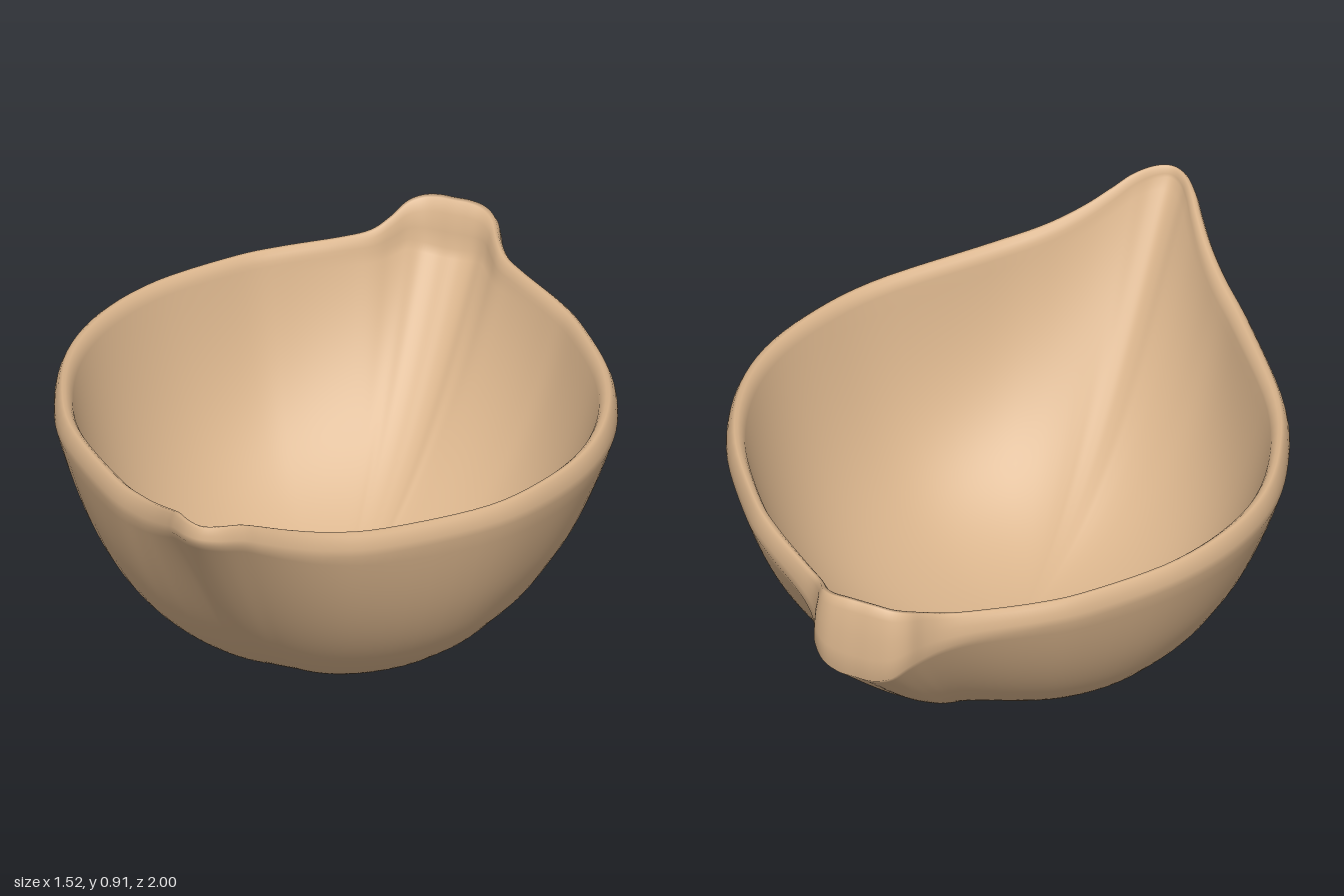
import * as THREE from 'three';
import { mergeVertices } from 'three/addons/utils/BufferGeometryUtils.js';

// Half of the rim, front to back: outer x, z, rim top height, outer wall height, inner x, z
const RIM = [
  [0, 1, 0.91, 0.86, 0, 0.972], [0.05, 0.983, 0.908, 0.855, 0.038, 0.953], [0.1, 0.937, 0.897, 0.84, 0.075, 0.91],
  [0.14, 0.89, 0.872, 0.81, 0.11, 0.862], [0.2, 0.825, 0.835, 0.77, 0.165, 0.795], [0.28, 0.75, 0.8, 0.735, 0.242, 0.715],
  [0.4, 0.64, 0.772, 0.71, 0.358, 0.605], [0.61, 0.4, 0.75, 0.69, 0.56, 0.38], [0.71, 0.2, 0.745, 0.68, 0.658, 0.192],
  [0.757, 0, 0.743, 0.68, 0.703, 0], [0.74, -0.2, 0.745, 0.68, 0.687, -0.19], [0.66, -0.4, 0.743, 0.68, 0.612, -0.38],
  [0.51, -0.6, 0.738, 0.67, 0.47, -0.572], [0.41, -0.7, 0.735, 0.67, 0.37, -0.665], [0.275, -0.8, 0.735, 0.66, 0.24, -0.765],
  [0.205, -0.855, 0.742, 0.645, 0.175, -0.815], [0.165, -0.905, 0.765, 0.635, 0.138, -0.86],
  [0.138, -0.962, 0.79, 0.63, 0.108, -0.897], [0.1, -0.992, 0.803, 0.6, 0.075, -0.918],
  [0.05, -1, 0.81, 0.582, 0.038, -0.925], [0, -1, 0.81, 0.58, 0, -0.925],
];

// Rounded lip: share of rim width, share of height from outer wall to rim top
const LIP = [[0.03, 0.3], [0.1, 0.58], [0.25, 0.87], [0.42, 0.99], [0.6, 0.98], [0.8, 0.82], [0.94, 0.6], [1, 0.4]];

const SEGMENTS = 192, WALL_ROWS = 48;
const lerp = THREE.MathUtils.lerp;

// Wall height fractions at radius fraction f
const sideWall = (f) => 0.58 * f ** 2 + 0.42 * f ** 6;
const frontWall = (f) => 0.65 * f ** 2 + 1.2 * f ** 3 - 0.85 * f ** 4;
const backWall = (f) => 0.8 * f ** 2 + 0.8 * f ** 3 - 0.6 * f ** 4;

// A wall point between the centre (f = 0) and the edge (f = 1); rounder lower down
function wallPoint(f, x, z, base, top, ripple) {
  const edge = Math.hypot(x, z), sin = x / edge, cos = z / edge;
  const oval = edge / Math.hypot(x / 0.757, z);
  const front = Math.max(0, cos) ** 4, back = Math.max(0, -cos) ** 4;
  const g = sideWall(f) * (1 - front - back) + frontWall(f) * front + backWall(f) * back;
  const r = f * lerp(Math.max(oval, edge), edge, f ** 2);
  const bump = ripple * (0.5 - 0.5 * Math.cos(f * 50)) * sin ** 8 * (1 - f ** 4);
  return [r * sin, lerp(base, top, g) + bump, r * cos];
}

function shellGeometry() {
  const mirrored = RIM.slice(1, -1).reverse().map(([x, z, top, wall, ix, iz]) => [-x, z, top, wall, -ix, iz]);
  const loop = [...RIM, ...mirrored];
  const curve = (pick) => new THREE.CatmullRomCurve3(loop.map((p) => new THREE.Vector3(...pick(p))), true, 'catmullrom', 0.5);
  const outer = curve(([x, z, , wall]) => [x, wall, z]);
  const inner = curve(([, , top, , ix, iz]) => [ix, top, iz]);

  // Each column runs from the outer bottom, over the lip, to the inner bottom
  const positions = [];
  let rows = 0;
  for (let i = 0; i < SEGMENTS; i++) {
    const o = outer.getPoint(i / SEGMENTS), n = inner.getPoint(i / SEGMENTS);
    const column = [];
    for (let j = 0; j <= WALL_ROWS; j++) column.push(wallPoint(j / WALL_ROWS, o.x, o.z, 0, o.y, 0.007));
    for (const [w, h] of LIP) column.push([lerp(o.x, n.x, w), lerp(o.y, n.y, h), lerp(o.z, n.z, w)]);
    const innerEdge = lerp(o.y, n.y, LIP[LIP.length - 1][1]);
    for (let j = WALL_ROWS - 1; j >= 0; j--) column.push(wallPoint(j / WALL_ROWS, n.x, n.z, 0.045, innerEdge, 0));
    rows = column.length;
    positions.push(...column.flat());
  }

  const index = [];
  for (let i = 0; i < SEGMENTS; i++) {
    for (let j = 0; j < rows - 1; j++) {
      const a = i * rows + j, b = ((i + 1) % SEGMENTS) * rows + j;
      index.push(a, b, b + 1, a, b + 1, a + 1);
    }
  }
  const geometry = new THREE.BufferGeometry();
  geometry.setAttribute('position', new THREE.Float32BufferAttribute(positions, 3));
  geometry.setIndex(index);
  const welded = mergeVertices(geometry, 1e-5);
  welded.computeVertexNormals();
  return welded;
}

export function createModel() {
  const group = new THREE.Group();
  group.name = 'halfShellBowl';
  const tan = new THREE.MeshStandardMaterial({ color: 0xd9b48c });
  tan.name = 'tan shell';
  const shell = new THREE.Mesh(shellGeometry(), tan);
  shell.name = 'shell';
  group.add(shell);
  return group;
}
